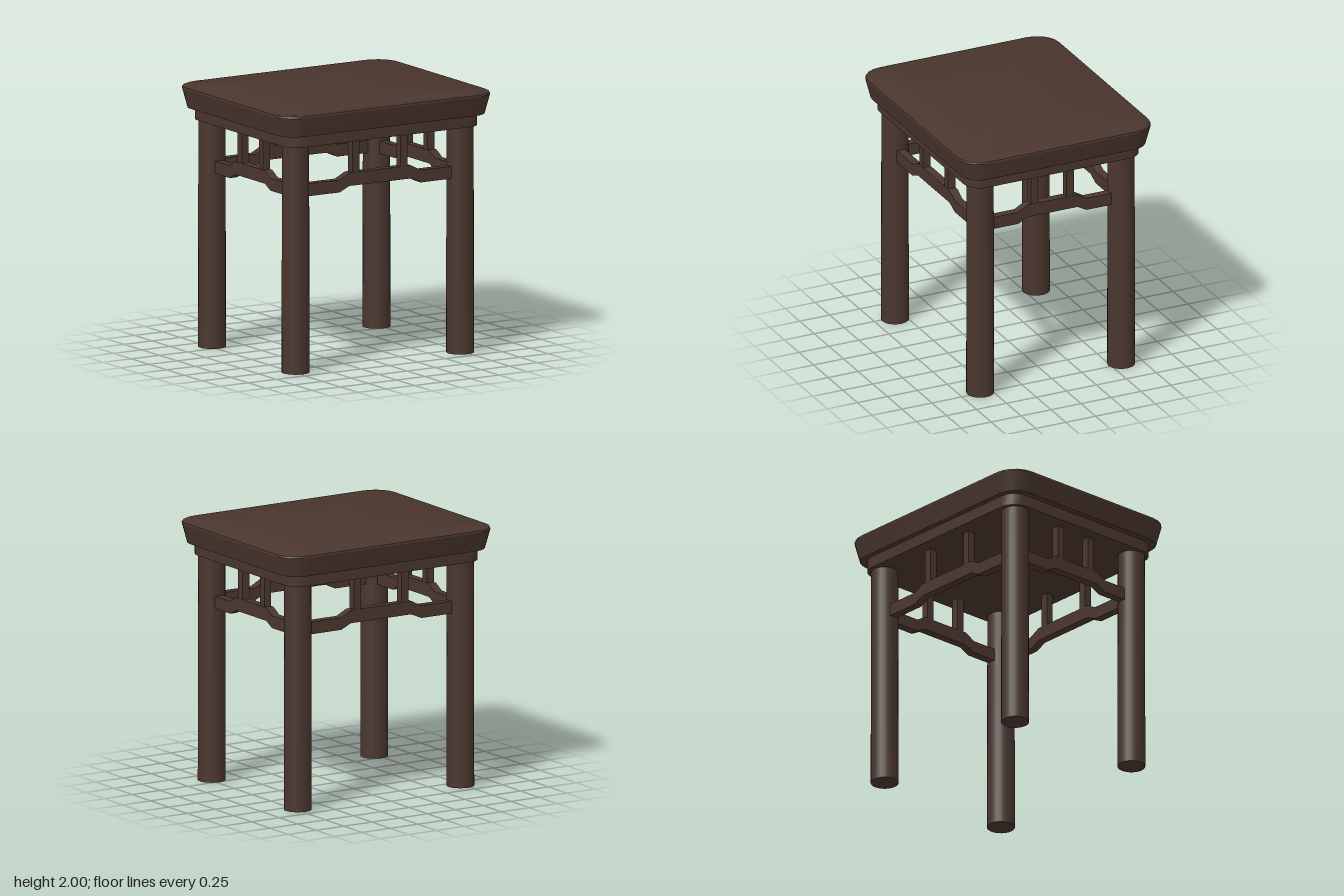
import * as THREE from 'three';
import { toCreasedNormals } from 'three/addons/utils/BufferGeometryUtils.js';

// Outline of a rounded rectangle at one height
function ring([y, hx, hz, r], steps = 5) {
  const pts = [];
  [[1, 1], [-1, 1], [-1, -1], [1, -1]].forEach(([sx, sz], q) => {
    for (let i = 0; i <= steps; i++) {
      const a = (q + i / steps) * Math.PI / 2;
      pts.push([sx * (hx - r) + r * Math.cos(a), y, sz * (hz - r) + r * Math.sin(a)]);
    }
  });
  return pts;
}

// Closed solid through rounded-rectangle layers, listed bottom to top
function loft(layers) {
  const rings = layers.map((l) => ring(l));
  const n = rings[0].length, last = (rings.length - 1) * n;
  const pos = rings.flat(2), index = [];
  for (let k = 0; k < rings.length - 1; k++) {
    for (let i = 0; i < n; i++) {
      const j = (i + 1) % n;
      const a = k * n + i, b = k * n + j, c = a + n, d = b + n;
      index.push(a, c, b, b, c, d);
    }
  }
  const bottom = pos.length / 3, top = bottom + 1;
  pos.push(0, layers[0][0], 0, 0, layers[layers.length - 1][0], 0);
  for (let i = 0; i < n; i++) {
    const j = (i + 1) % n;
    index.push(bottom, i, j, top, last + j, last + i);
  }
  const g = new THREE.BufferGeometry();
  g.setAttribute('position', new THREE.Float32BufferAttribute(pos, 3));
  g.setIndex(index);
  return toCreasedNormals(g, 0.45);
}

export function createModel() {
  const model = new THREE.Group();
  model.name = 'stool';
  const wood = new THREE.MeshStandardMaterial({ color: 0x4a362e });
  wood.name = 'dark wood';

  const add = (parent, name, geometry, x = 0, y = 0, z = 0) => {
    const mesh = new THREE.Mesh(geometry, wood);
    mesh.name = name;
    mesh.position.set(x, y, z);
    parent.add(mesh);
    return mesh;
  };

  // Flared seat with softened upper edge
  add(model, 'seat', loft([
    [1.83, 0.905, 0.762, 0.15],
    [1.98, 0.944, 0.799, 0.18],
    [1.993, 0.94, 0.795, 0.18],
    [2.0, 0.925, 0.78, 0.17],
  ]));

  // Recessed apron under the seat
  add(model, 'apron', loft([
    [1.74, 0.855, 0.722, 0.13],
    [1.835, 0.855, 0.722, 0.13],
  ]));

  // Four round legs
  const legGeometry = new THREE.CylinderGeometry(0.102, 0.105, 1.76, 24);
  for (const [side, sx] of [['left', 1], ['right', -1]]) {
    for (const [end, sz] of [['Front', 1], ['Back', -1]]) {
      add(model, `${side}${end}Leg`, legGeometry, sx * 0.729, 0.88, sz * 0.588);
    }
  }

  // Humped stretcher with two struts, running along x
  const thick = 0.065;
  function rail(name, half, low, high, strutX) {
    const group = new THREE.Group();
    group.name = name;
    const shape = new THREE.Shape([
      [-half, 1.34], [-low, 1.34], [-high, 1.38], [high, 1.38], [low, 1.34], [half, 1.34],
      [half, 1.435], [low, 1.435], [high, 1.48], [-high, 1.48], [-low, 1.435], [-half, 1.435],
    ].map(([x, y]) => new THREE.Vector2(x, y)));
    const bar = new THREE.ExtrudeGeometry(shape, { depth: thick, bevelEnabled: false });
    add(group, 'stretcher', bar, 0, 0, -thick / 2);
    for (const s of [-1, 1]) {
      add(group, 'strut', new THREE.BoxGeometry(0.06, 0.29, 0.06), s * strutX, 1.605, 0);
    }
    model.add(group);
    return group;
  }
  for (const s of [1, -1]) {
    rail(s > 0 ? 'frontRail' : 'backRail', 0.638, 0.36, 0.273, 0.213).position.z = s * 0.588;
    const side = rail(s > 0 ? 'leftRail' : 'rightRail', 0.496, 0.285, 0.208, 0.15);
    side.rotation.y = Math.PI / 2;
    side.position.x = s * 0.729;
  }
  return model;
}
